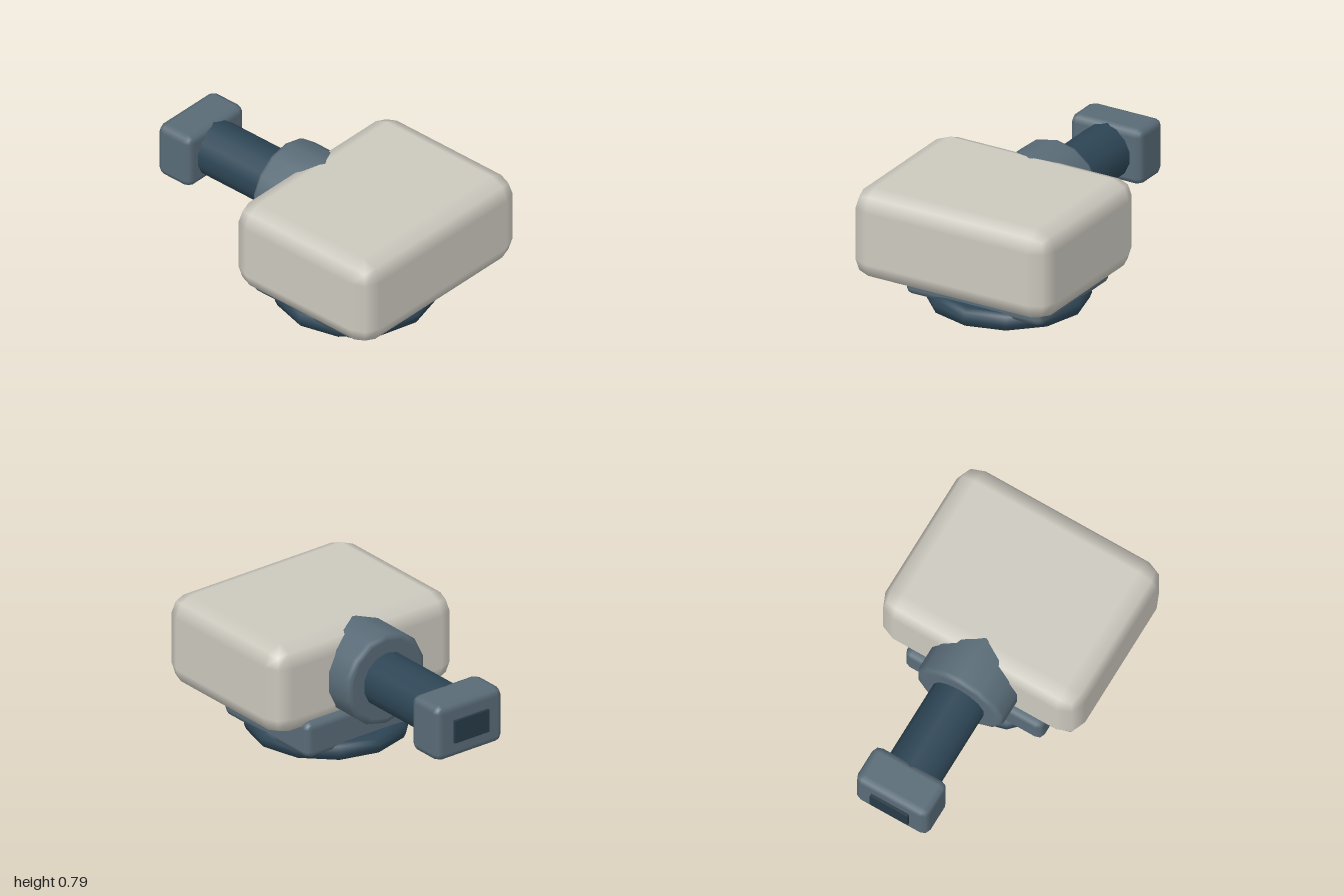
import * as THREE from 'three';

const SHELL = 0xcbc8be, SLATE = 0x596b77, NAVY = 0x2d4555, DARK = 0x273a47;

function part(name, geometry, color, x, y, z) {
  const mesh = new THREE.Mesh(geometry, new THREE.MeshStandardMaterial({ color }));
  mesh.name = name;
  mesh.position.set(x, y, z);
  return mesh;
}

// Box with two-step rounded edges: the outer ring of vertices lies on the edge radius
function softBox(w, h, d, r) {
  const g = new THREE.BoxGeometry(1, 1, 1, 3, 3, 3);
  const p = g.attributes.position, n = g.attributes.normal;
  const face = new THREE.Vector3(), dir = new THREE.Vector3();
  const outer = (v) => (Math.abs(v) > 0.4 ? Math.sign(v) : 0);
  for (let i = 0; i < p.count; i++) {
    face.fromBufferAttribute(p, i);
    dir.set(outer(face.x), outer(face.y), outer(face.z)).normalize();
    p.setXYZ(i,
      Math.sign(face.x) * (w / 2 - r) + dir.x * r,
      Math.sign(face.y) * (h / 2 - r) + dir.y * r,
      Math.sign(face.z) * (d / 2 - r) + dir.z * r);
    n.setXYZ(i, dir.x, dir.y, dir.z);
  }
  return g;
}

// Disc along y with two-step rounded rims
function softDisc(radius, height, r, sides) {
  const pts = [new THREE.Vector2(0, -height / 2), new THREE.Vector2(radius - r - 0.01, -height / 2)];
  for (const s of [-1, 1]) {
    for (let i = 0; i <= 2; i++) {
      const a = (s < 0 ? i - 2 : i) * Math.PI / 4;
      pts.push(new THREE.Vector2(radius - r + r * Math.cos(a), s * (height / 2 - r) + r * Math.sin(a)));
    }
  }
  pts.push(new THREE.Vector2(radius - r - 0.01, height / 2), new THREE.Vector2(0, height / 2));
  return new THREE.LatheGeometry(pts, sides);
}

export function createModel() {
  const model = new THREE.Group();
  model.name = 'model';

  // Foot and its plinth
  model.add(part('baseDisc', softDisc(0.48, 0.11, 0.045, 12), NAVY, 0, 0.055, 0.325));
  model.add(part('plinth', softBox(0.91, 0.22, 0.775, 0.04), SLATE, 0, 0.18, 0.323));

  // Main housing
  model.add(part('housing', softBox(1.32, 0.56, 1.04, 0.12), SHELL, 0, 0.508, 0.48));

  // Rear collar and shaft
  const collar = softDisc(0.287, 0.33, 0.03, 14).rotateX(-Math.PI / 2);
  model.add(part('collar', collar, SLATE, 0, 0.506, -0.052));
  const shaft = new THREE.CylinderGeometry(0.168, 0.168, 0.66, 14).rotateX(-Math.PI / 2);
  model.add(part('shaft', shaft, NAVY, 0, 0.506, -0.5));

  // End block with its inset plate
  model.add(part('endBlock', softBox(0.48, 0.345, 0.25, 0.045), SLATE, 0, 0.508, -0.857));
  model.add(part('endPlate', new THREE.BoxGeometry(0.25, 0.14, 0.06), DARK, 0, 0.508, -0.97));

  return model;
}
